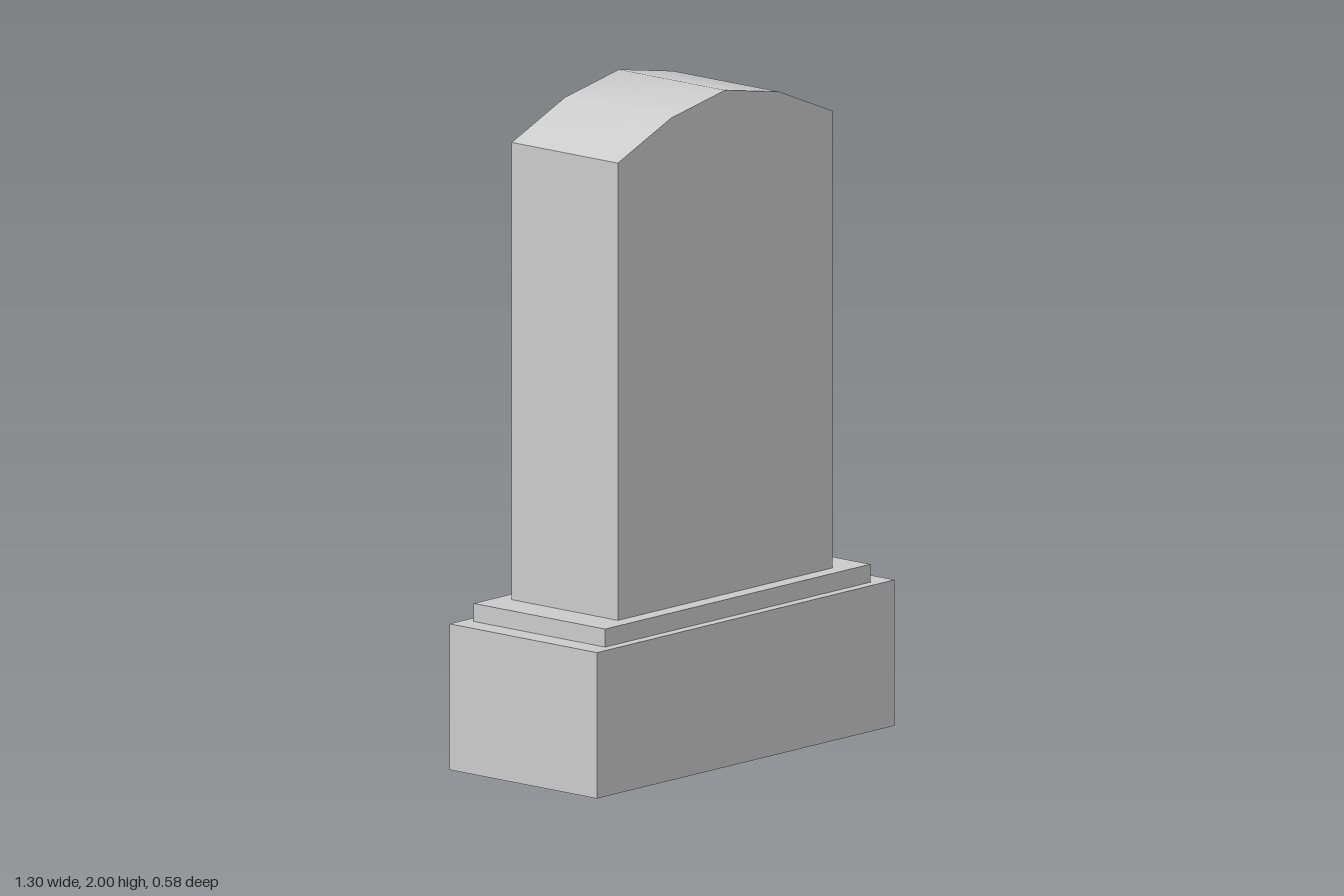
import * as THREE from 'three';
import { toCreasedNormals } from 'three/addons/utils/BufferGeometryUtils.js';

export function createModel() {
  const group = new THREE.Group();
  const material = new THREE.MeshStandardMaterial({ color: 0xcccccc });

  const add = (name, geometry, y = 0) => {
    const mesh = new THREE.Mesh(geometry, material);
    mesh.name = name;
    mesh.position.y = y;
    group.add(mesh);
  };

  // Stepped plinth: [name, width, depth, bottom, top]
  const blocks = [
    ['base', 1.305, 0.577, 0, 0.437],
    ['step', 1.163, 0.515, 0.437, 0.491],
  ];
  for (const [name, width, depth, bottom, top] of blocks) {
    add(name, new THREE.BoxGeometry(width, top - bottom, depth), (bottom + top) / 2);
  }

  // Upright slab with a faceted, smooth-shaded arched top
  const depth = 0.416;
  const outline = [
    [-0.47, 0.491], [0.47, 0.491], [0.47, 1.86], [0.237, 1.956],
    [0, 2], [-0.237, 1.956], [-0.47, 1.86],
  ].map(([x, y]) => new THREE.Vector2(x, y));
  const slab = new THREE.ExtrudeGeometry(new THREE.Shape(outline), { depth, bevelEnabled: false });
  slab.translate(0, 0, -depth / 2);
  add('slab', toCreasedNormals(slab, 0.5));

  return group;
}
